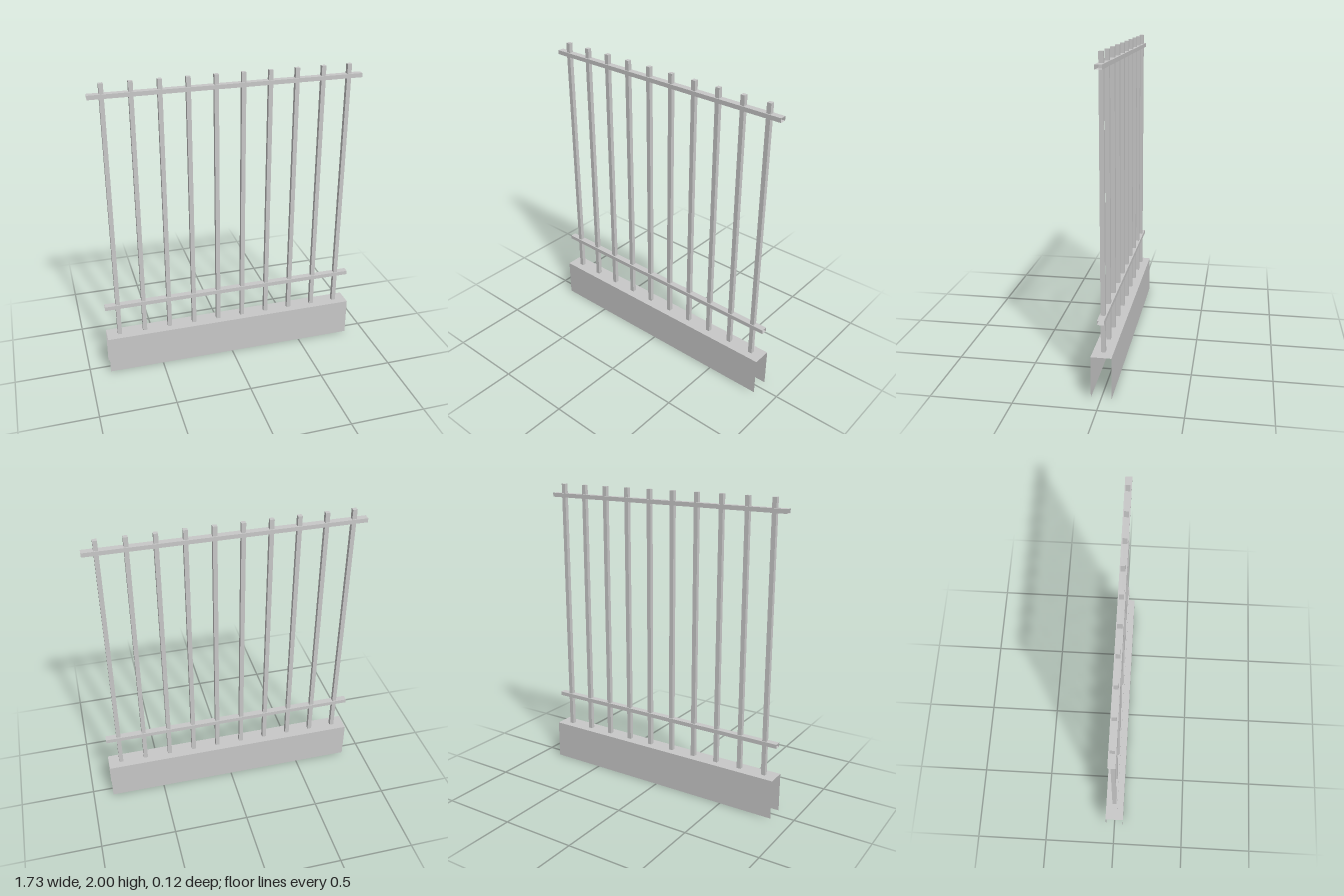
import * as THREE from 'three';

const WIDTH = 1.73;
const BARS = 10;

// Box spanning y0..y1 that keeps only the listed sides (0 +x, 1 -x, 2 +y, 3 -y, 4 +z, 5 -z)
function openBox(width, y0, y1, depth, sides) {
  const geometry = new THREE.BoxGeometry(width, y1 - y0, depth);
  const index = Array.from(geometry.index.array);
  geometry.setIndex(sides.flatMap((s) => index.slice(s * 6, s * 6 + 6)));
  geometry.clearGroups();
  geometry.translate(0, (y0 + y1) / 2, 0);
  return geometry;
}

export function createModel() {
  const fence = new THREE.Group();
  fence.name = 'fence';
  const lightGrey = new THREE.MeshStandardMaterial({ color: 0xc8c8c8, side: THREE.DoubleSide });
  lightGrey.name = 'lightGrey';

  const add = (name, geometry, x = 0) => {
    const mesh = new THREE.Mesh(geometry, lightGrey);
    mesh.name = name;
    mesh.position.x = x;
    fence.add(mesh);
  };

  // Low wall: top, front and back, open at the ends and underneath
  add('baseWall', openBox(WIDTH, 0, 0.26, 0.124, [2, 4, 5]));

  // Rails: square tubes with open ends
  add('lowerRail', openBox(WIDTH, 0.465, 0.492, 0.042, [2, 3, 4, 5]));
  add('upperRail', openBox(WIDTH, 1.91, 1.937, 0.042, [2, 3, 4, 5]));

  // Upright bars standing on the wall and passing through the rails
  const bar = openBox(0.028, 0.26, 2, 0.027, [0, 1, 2, 4, 5]);
  for (let i = 0; i < BARS; i++) {
    add('bar' + (i + 1), bar, (i - (BARS - 1) / 2) * (WIDTH / BARS));
  }
  return fence;
}
